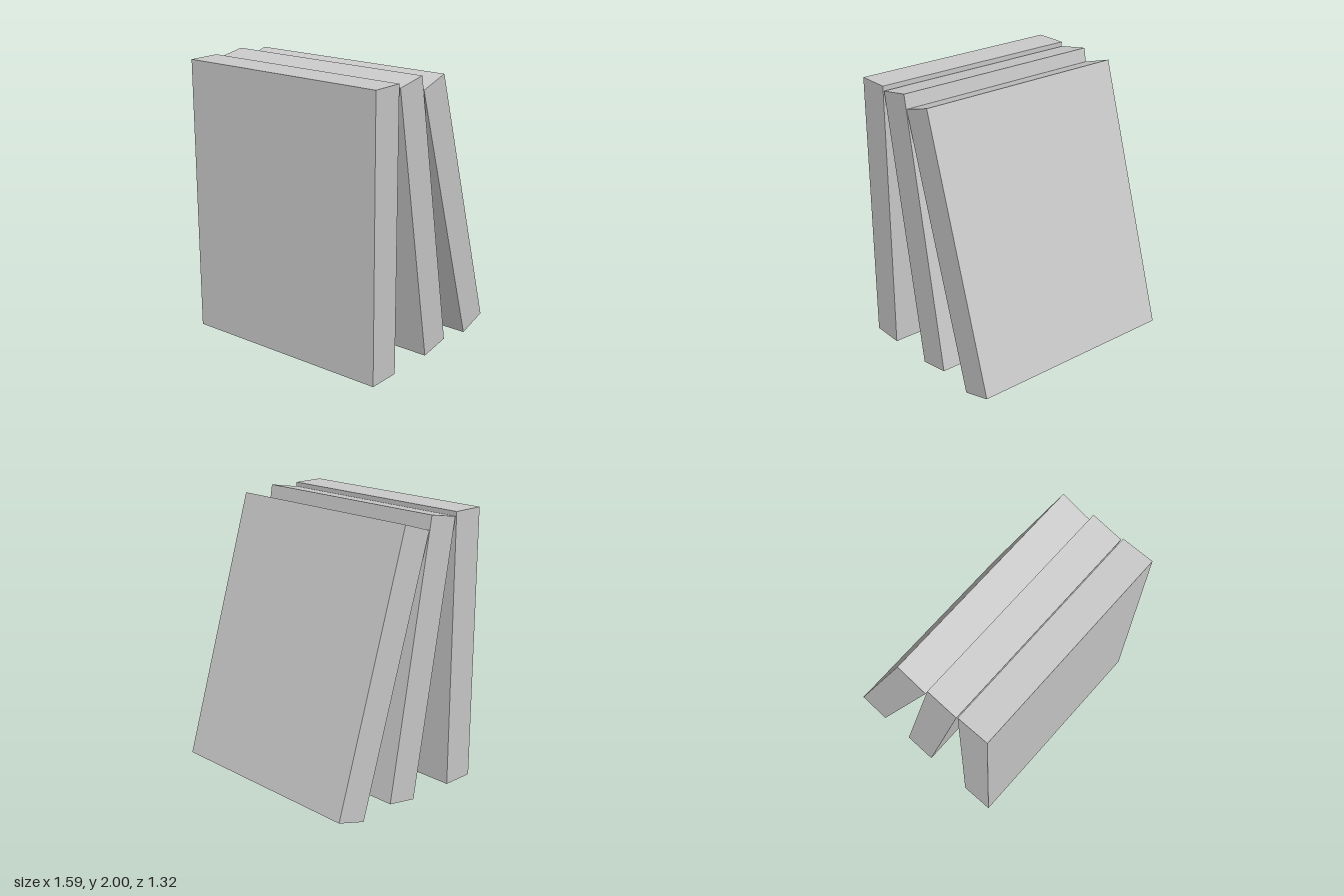
import * as THREE from 'three';

const WIDTH = 1.59, HEIGHT = 1.988, DEPTH = 0.24;

export function createModel() {
  const group = new THREE.Group();
  const material = new THREE.MeshStandardMaterial({ color: 0xcccccc, flatShading: true });
  const geometry = new THREE.BoxGeometry(WIDTH, HEIGHT, DEPTH);

  // Three equal slabs: one upright, two leaning forward against it
  const slabs = [
    { name: 'uprightSlab', z: 0.541, tilt: 0 },
    { name: 'middleLeaningSlab', z: 0.118, tilt: 10 },
    { name: 'rearLeaningSlab', z: -0.255, tilt: 17 },
  ];

  for (const { name, z, tilt } of slabs) {
    const angle = THREE.MathUtils.degToRad(tilt);
    const slab = new THREE.Mesh(geometry, material);
    slab.name = name;
    slab.rotation.x = angle;
    // Raise each slab so its lowest edge rests on the ground
    slab.position.set(0, (HEIGHT * Math.cos(angle) + DEPTH * Math.sin(angle)) / 2, z);
    group.add(slab);
  }
  return group;
}
